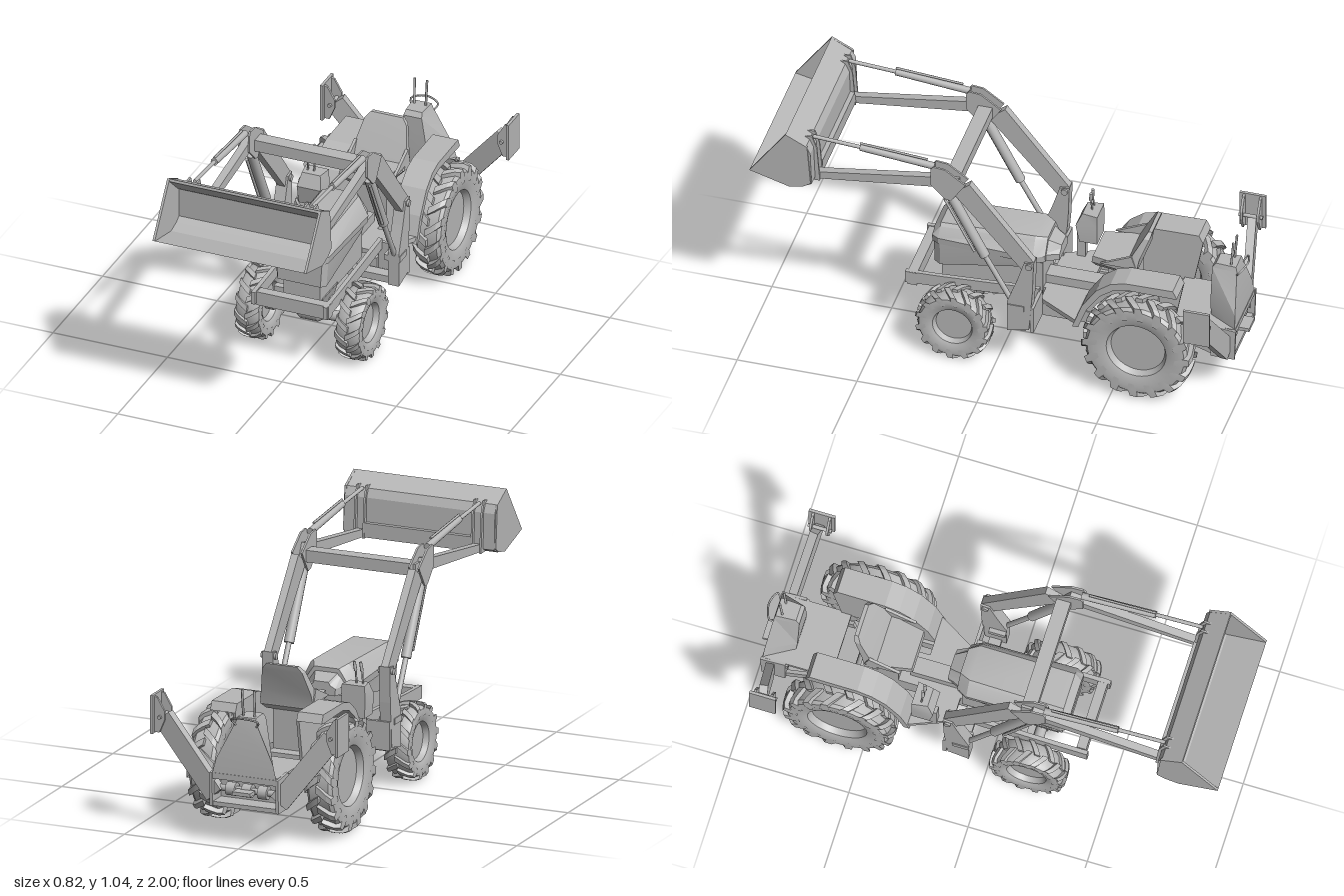
import * as THREE from 'three';
import { toCreasedNormals, mergeGeometries } from 'three/addons/utils/BufferGeometryUtils.js';

const grey = new THREE.MeshStandardMaterial({ color: 0xb8b8b8, side: THREE.DoubleSide });
grey.name = 'plain grey';

export function createModel() {
  const root = new THREE.Group();
  root.name = 'loaderTractor';
  const model = new THREE.Group();
  model.name = 'body';
  root.add(model);

  const add = (name, geo) => {
    const m = new THREE.Mesh(geo, grey);
    m.name = name;
    model.add(m);
    return m;
  };
  // box given by its extents
  const box = (name, x0, x1, y0, y1, z0, z1) =>
    add(name, new THREE.BoxGeometry(Math.abs(x1 - x0), y1 - y0, Math.abs(z1 - z0))
      .translate((x0 + x1) / 2, (y0 + y1) / 2, (z0 + z1) / 2));
  // side profile of [z, y] points, extruded across x
  const plate = (name, pts, xMid, width) => {
    const s = new THREE.Shape(pts.map(p => new THREE.Vector2(...p)));
    const g = new THREE.ExtrudeGeometry(s, { depth: width, bevelEnabled: false });
    return add(name, g.rotateY(-Math.PI / 2).translate(xMid + width / 2, 0, 0));
  };
  const place = (mesh, a, b) => {
    mesh.position.set(...a).add(new THREE.Vector3(...b)).multiplyScalar(0.5);
    mesh.lookAt(...b);
  };
  const len = (a, b) => Math.hypot(a[0] - b[0], a[1] - b[1], a[2] - b[2]);
  // rectangular and round bars between two points
  const beam = (name, a, b, w, h) => place(add(name, new THREE.BoxGeometry(w, h, len(a, b))), a, b);
  const rod = (name, a, b, r, r2 = r, n = 12) =>
    place(add(name, new THREE.CylinderGeometry(r2, r, len(a, b), n).rotateX(Math.PI / 2)), a, b);
  // faceted skin through closed rings, capped at both ends
  const loft = (name, rings) => {
    const n = rings[0].length, idx = [];
    for (let i = 0; i < rings.length - 1; i++)
      for (let j = 0; j < n; j++) {
        const a = i * n + j, b = i * n + (j + 1) % n;
        idx.push(a, b, a + n, b, b + n, a + n);
      }
    const e = (rings.length - 1) * n;
    for (let j = 1; j < n - 1; j++) idx.push(0, j + 1, j, e, e + j, e + j + 1);
    const g = new THREE.BufferGeometry();
    g.setAttribute('position', new THREE.Float32BufferAttribute(rings.flat(2), 3));
    g.setIndex(idx);
    return add(name, toCreasedNormals(g, 0.45));
  };
  const sides = f => [-1, 1].forEach(f);

  // ---- wheels: lathed tyre and dish, plus chevron lugs wrapped over the shoulder
  const wheelGeometry = (R, W, rim, count, out) => {
    const T = 0.91 * R;
    const profile = [[0, -0.4], [rim * 0.9, -0.4], [rim, -0.8], [rim * 1.08, -0.86], [0.75 * R, -1], [0.86 * R, -0.95],
      [T, -0.72], [T * 1.01, 0], [T, 0.72], [0.86 * R, 0.95], [0.75 * R, 1], [rim * 1.08, 0.86], [rim, 0.8],
      [rim * 0.9, 0.35], [0, 0.35]].map(p => new THREE.Vector2(p[0], p[1] * W));
    const parts = [toCreasedNormals(new THREE.LatheGeometry(profile, 36).rotateZ(-out * Math.PI / 2), 0.6)];
    const across = [-0.08, 0.35, 0.7, 1, 1.02], drop = [0, 0, 0.01, 0.05, 0.19];
    for (let i = 0; i < count; i++) sides(s => {
      const g = new THREE.BoxGeometry(4, 1, 1, 4, 1, 1), p = g.attributes.position;
      const start = ((i + (s > 0 ? 0.5 : 0)) / count) * Math.PI * 2;
      for (let k = 0; k < p.count; k++) {
        const u = Math.round(p.getX(k) + 2);
        const r = R * ((p.getY(k) > 0 ? 1 : 0.88) - drop[u]);
        const a = start - u * 1.24 / count + p.getZ(k) * 2.1 / count;
        p.setXYZ(k, s * across[u] * W, r * Math.cos(a), r * Math.sin(a));
      }
      parts.push(toCreasedNormals(g, 0.5));
    });
    return mergeGeometries(parts.map(g => g.index ? g.toNonIndexed() : g));
  };
  sides(s => {
    add('rearWheel', wheelGeometry(0.235, 0.058, 0.125, 16, s)).position.set(s * 0.259, 0.24, -0.605);
    add('frontWheel', wheelGeometry(0.16, 0.053, 0.083, 14, s)).position.set(s * 0.219, 0.163, 0.175);
  });

  // ---- axles and drive train
  rod('rearAxle', [-0.24, 0.24, -0.585], [0.24, 0.24, -0.585], 0.025);
  rod('frontAxle', [-0.2, 0.16, 0.175], [0.2, 0.16, 0.175], 0.022);
  rod('frontDifferential', [-0.038, 0.16, 0.175], [0.038, 0.16, 0.175], 0.038);
  sides(s => {
    rod('axleTaper', [s * 0.038, 0.16, 0.175], [s * 0.055, 0.16, 0.175], 0.038, 0.027);
    rod('axleHub', [s * 0.155, 0.16, 0.175], [s * 0.19, 0.16, 0.175], 0.03);
  });
  box('axleBeam', -0.17, 0.17, 0.207, 0.228, 0.13, 0.16);
  loft('axleMount', [0.1, 0.25].map(z => [[-0.065, 0.2, z], [0.065, 0.2, z], [0.085, 0.27, z], [-0.085, 0.27, z]]));
  box('engine', -0.08, 0.08, 0.255, 0.42, -0.15, 0.27);
  box('transmission', -0.07, 0.07, 0.205, 0.29, -0.585, -0.12);
  box('tunnel', -0.035, 0.035, 0.285, 0.33, -0.38, -0.14);

  // ---- hood, grille body and dashboard
  const hoodRing = (z, wt, yt, wm, yb) => [[-wm, yb, z], [-wm * 1.03, yb + 0.03, z], [-wt * 1.05, yt - 0.012, z],
    [-wt * 0.9, yt, z], [wt * 0.9, yt, z], [wt * 1.05, yt - 0.012, z], [wm * 1.03, yb + 0.03, z], [wm, yb, z]];
  loft('hood', [hoodRing(0.305, 0.075, 0.505, 0.1, 0.455), hoodRing(0.275, 0.087, 0.535, 0.118, 0.455),
    hoodRing(-0.12, 0.085, 0.548, 0.118, 0.44), hoodRing(-0.165, 0.06, 0.535, 0.095, 0.44)]);
  const lowRing = (z, w, y0, y1) => [[-w * 0.93, y0, z], [-w, y1, z], [w, y1, z], [w * 0.93, y0, z]];
  loft('grilleBody', [lowRing(0.298, 0.1, 0.35, 0.455), lowRing(0.27, 0.116, 0.345, 0.458), lowRing(-0.1, 0.113, 0.41, 0.445)]);
  loft('dashboard', [hoodRing(-0.15, 0.06, 0.525, 0.09, 0.44), hoodRing(-0.215, 0.035, 0.49, 0.06, 0.435)]);

  // ---- seat
  const flat = (y, w0, z0, w1, z1) => [[-w0, y, z0], [w0, y, z0], [w1, y, z1], [-w1, y, z1]];
  loft('seatCushion', [flat(0.455, 0.075, -0.37, 0.1, -0.53), flat(0.475, 0.085, -0.355, 0.118, -0.545),
    flat(0.505, 0.085, -0.36, 0.12, -0.545)]);
  loft('seatBack', [flat(0.48, 0.118, -0.49, 0.118, -0.55), flat(0.54, 0.115, -0.52, 0.11, -0.56),
    flat(0.64, 0.092, -0.573, 0.088, -0.598), flat(0.665, 0.07, -0.588, 0.068, -0.604)]);
  sides(s => plate('seatSide', [[-0.4, 0.5], [-0.53, 0.56], [-0.55, 0.5]], s * 0.112, 0.012));
  box('seatPedestal', -0.07, 0.07, 0.285, 0.46, -0.53, -0.42);

  // ---- fenders with inner walls
  const arch = [[-0.32, 0.26], [-0.36, 0.37], [-0.42, 0.46], [-0.48, 0.505], [-0.54, 0.522], [-0.74, 0.525], [-0.757, 0.49]];
  const under = [[-0.74, 0.487], [-0.55, 0.49], [-0.49, 0.475], [-0.435, 0.435], [-0.38, 0.355], [-0.345, 0.26]];
  sides(s => {
    plate('fender', [...arch, ...under], s * 0.19, 0.11);
    plate('fenderWall', [...arch, [-0.72, 0.3]], s * 0.14, 0.012);
  });

  // ---- floor, steps and control box
  add('floor', new THREE.ExtrudeGeometry(new THREE.Shape([[-0.24, 0.33], [0.24, 0.33], [0.14, 0.16], [-0.17, 0.16]]
    .map(p => new THREE.Vector2(...p))), { depth: 0.02, bevelEnabled: false }).rotateX(-Math.PI / 2).translate(0, 0.27, 0));
  sides(s => box('floorRail', s * 0.12, s * 0.15, 0.215, 0.27, -0.38, -0.14));
  loft('controlBox', [flat(0.39, 0.05, -0.24, 0.05, -0.315), flat(0.47, 0.052, -0.225, 0.052, -0.315),
    flat(0.525, 0.04, -0.25, 0.05, -0.315)]).position.x = -0.185;
  box('controlStand', -0.2, -0.17, 0.28, 0.4, -0.255, -0.22);
  [-0.213, -0.185].forEach(x => {
    rod('controlLever', [x, 0.52, -0.28], [x + 0.007, 0.585, -0.275], 0.004, 0.004, 6);
    rod('leverGrip', [x + 0.007, 0.575, -0.275], [x + 0.012, 0.613, -0.278], 0.007, 0.006, 8);
  });

  // ---- loader subframe and bumper
  box('bumper', -0.145, 0.168, 0.265, 0.325, 0.35, 0.39);
  box('subframeCross', -0.26, 0.26, 0.205, 0.235, -0.13, -0.08);
  sides(s => {
    plate('sideRail', [[0.4, 0.27], [0.4, 0.325], [0.26, 0.33], [-0.16, 0.355], [-0.16, 0.31], [0.3, 0.275]], s * 0.157, 0.018);
    box('postBracket', s * 0.15, s * 0.28, 0.22, 0.34, -0.17, -0.155);
    plate('loaderPost', [[-0.06, 0.21], [-0.15, 0.23], [-0.165, 0.42], [-0.17, 0.57], [-0.13, 0.565], [-0.1, 0.47],
      [-0.06, 0.36]], s * 0.257, 0.048);
    box('postFoot', s * 0.215, s * 0.285, 0.32, 0.345, -0.13, -0.06);
    rod('postPin', [s * 0.225, 0.55, -0.15], [s * 0.29, 0.55, -0.15], 0.014);

    // boom: lower arm, elbow plates and upper arm
    plate('lowerArm', [[0.1, 0.905], [0.17, 0.85], [-0.125, 0.515], [-0.165, 0.525], [-0.168, 0.57]], s * 0.257, 0.032);
    plate('upperArm', [[0.2, 0.925], [0.27, 0.91], [0.74, 0.835], [0.745, 0.802], [0.25, 0.865], [0.17, 0.86]], s * 0.257, 0.032);
    [-0.021, 0.021].forEach(d => plate('elbowPlate', [[0.26, 0.955], [0.25, 0.97], [0.2, 0.965], [0.115, 0.905],
      [0.175, 0.815], [0.2, 0.82], [0.26, 0.88]], s * 0.257 + d, 0.008));

    // hydraulic rams
    const x = s * 0.257;
    rod('liftBarrel', [x, 0.83, 0.185], [x, 0.55, 0.04], 0.021);
    rod('liftRod', [x, 0.55, 0.04], [x, 0.34, -0.075], 0.011);
    rod('liftPipe', [x + s * 0.012, 0.81, 0.205], [x + s * 0.012, 0.57, 0.08], 0.006, 0.006, 6);
    rod('tiltBarrel', [x, 0.957, 0.25], [x, 0.987, 0.56], 0.015);
    rod('tiltRod', [x, 0.987, 0.56], [x, 1.0, 0.757], 0.008);
    rod('tiltPipe', [x, 0.985, 0.28], [x, 1.006, 0.56], 0.005, 0.005, 6);

    // bucket cheek and hitch
    plate('bucketCheek', [[1, 0.835], [0.85, 1.045], [0.76, 1.0], [0.745, 0.82], [0.775, 0.8], [0.835, 0.787]], s * 0.331, 0.01);
    [-0.02, 0.02].forEach(d => plate('bucketHitch', [[0.785, 1.012], [0.755, 1.014], [0.735, 0.96], [0.722, 0.8],
      [0.765, 0.8], [0.747, 0.815], [0.751, 0.965], [0.766, 0.998]], x + d, 0.008));
  });
  box('boomCross', -0.25, 0.25, 0.86, 0.91, 0.15, 0.21);

  // ---- bucket shell as a thin bent sheet
  plate('bucketShell', [[1, 0.835], [0.835, 0.787], [0.775, 0.798], [0.742, 0.815], [0.748, 0.965], [0.765, 1.0], [0.85, 1.045],
    [0.853, 1.034], [0.77, 0.96], [0.757, 0.95], [0.755, 0.825], [0.78, 0.81], [0.835, 0.797]], 0, 0.66);
  box('bucketBackBar', -0.235, 0.235, 0.805, 0.865, 0.725, 0.75);

  // ---- rear frame
  box('rearDeck', -0.142, 0.142, 0.29, 0.305, -0.96, -0.68);
  box('rearFrameTop', -0.15, 0.15, 0.275, 0.3, -0.97, -0.86);
  box('rearFrameBottom', -0.15, 0.15, 0.16, 0.178, -0.965, -0.87);
  box('rearFramePanel', -0.15, 0.15, 0.165, 0.29, -0.885, -0.87);
  rod('crossShaft', [-0.14, 0.23, -0.93], [0.14, 0.23, -0.93], 0.014);
  [-0.07, 0, 0.07].forEach(x => rod('shaftCollar', [x - 0.02, 0.23, -0.93], [x + 0.02, 0.23, -0.93], 0.028));
  box('rearLatch', -0.04, 0.04, 0.225, 0.24, -1, -0.95);
  loft('controlTower', [flat(0.3, 0.07, -0.85, 0.14, -0.968), flat(0.36, 0.065, -0.845, 0.125, -0.965),
    flat(0.52, 0.04, -0.845, 0.045, -0.95), flat(0.54, 0.035, -0.86, 0.04, -0.945)]);
  add('towerHandle', new THREE.TubeGeometry(new THREE.CatmullRomCurve3([[-0.04, 0.5, -0.945], [-0.06, 0.53, -0.965],
    [0, 0.545, -0.985], [0.06, 0.53, -0.965], [0.04, 0.5, -0.945]].map(p => new THREE.Vector3(...p))), 20, 0.004, 6));
  sides(s => {
    rod('towerLever', [s * 0.025, 0.53, -0.92], [s * 0.027, 0.65, -0.93], 0.005, 0.005, 6);
    plate('rearFrameSide', [[-0.87, 0.16], [-0.97, 0.16], [-0.975, 0.3], [-0.87, 0.31]], s * 0.145, 0.012);
    beam('rearStrut', [s * 0.135, 0.18, -0.88], [s * 0.12, 0.24, -0.66], 0.015, 0.035);

    // stabiliser leg and foot
    const foot = x => s * x + 0.0125;
    beam('stabiliserLeg', [s * 0.14, 0.2, -0.935], [foot(0.372), 0.485, -0.9], 0.035, 0.085);
    box('stabiliserPad', foot(0.4), foot(0.412), 0.42, 0.58, -0.945, -0.835);
    [-0.93, -0.86].forEach(z => {
      const shape = new THREE.Shape([[0.402, 0.575], [0.387, 0.57], [0.355, 0.515], [0.355, 0.48], [0.378, 0.425], [0.402, 0.425]]
        .map(p => new THREE.Vector2(foot(p[0]), p[1])));
      add('padRib', new THREE.ExtrudeGeometry(shape, { depth: 0.01, bevelEnabled: false }).translate(0, 0, z));
    });
    rod('padPin', [foot(0.375), 0.49, -0.94], [foot(0.375), 0.49, -0.84], 0.008);
  });
  model.position.x = -0.0125;
  return root;
}
